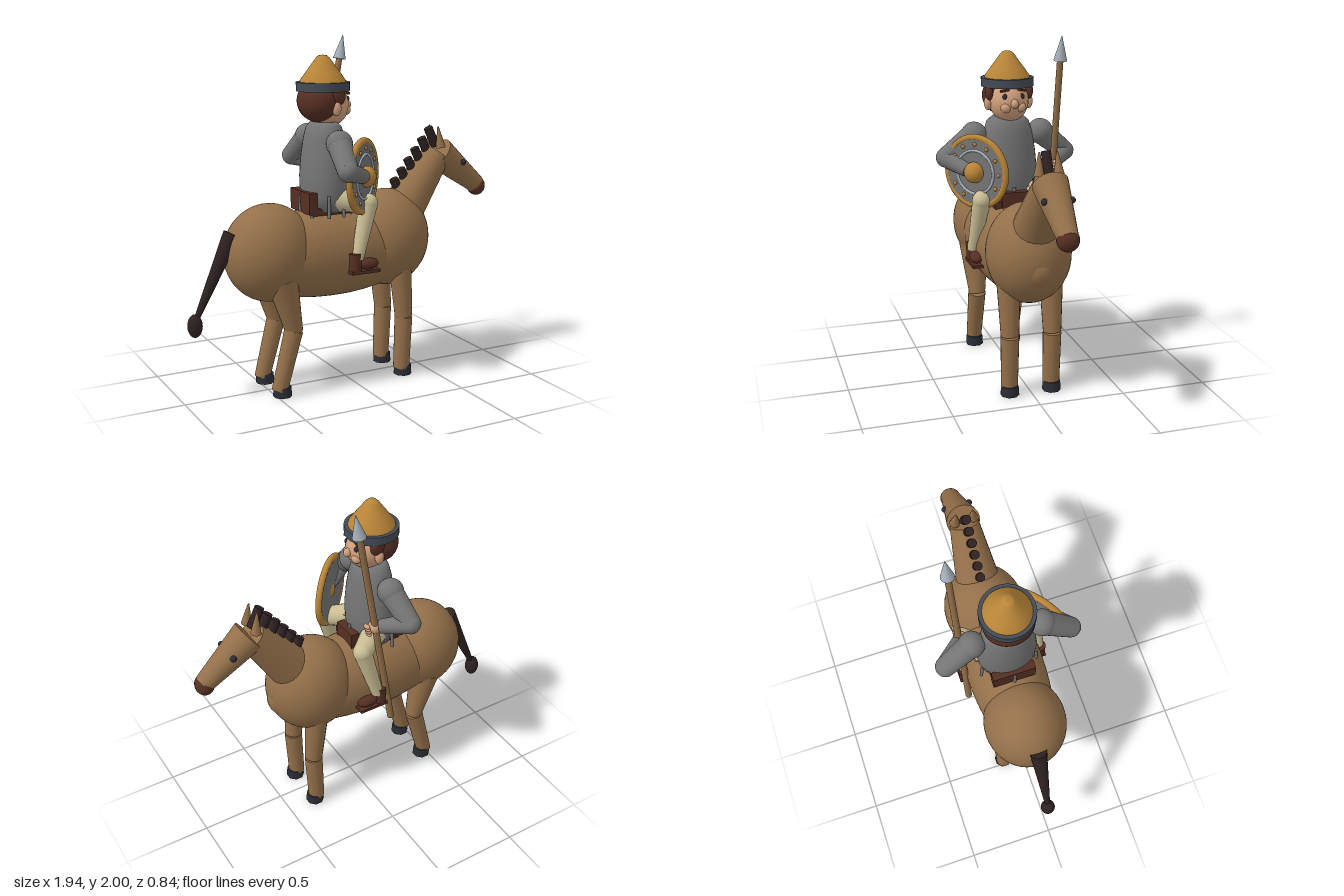
import * as THREE from 'three';

const mat = (name, color) => {
  const m = new THREE.MeshStandardMaterial({ color });
  m.name = name;
  return m;
};
const V = (x, y, z) => new THREE.Vector3(x, y, z);

export function createModel() {
  const coat = mat('coat tan', 0x94704a), mane = mat('mane dark brown', 0x2e2122);
  const hoof = mat('hoof black', 0x2b2d35), mail = mat('mail grey', 0x757575);
  const band = mat('band slate', 0x454c57), gold = mat('brass gold', 0xb98538);
  const steel = mat('light steel', 0xaab4bd), skin = mat('skin', 0xd3a27e);
  const cream = mat('trousers cream', 0xcabd94), leather = mat('leather brown', 0x562f23);

  const root = new THREE.Group();
  root.name = 'mountedSpearman';
  const section = (name) => {
    const g = new THREE.Group();
    g.name = name;
    root.add(g);
    return g;
  };
  const horse = section('horse'), rider = section('rider'), saddle = section('saddle');

  const add = (parent, name, geo, m, pos = V(0, 0, 0)) => {
    const mesh = new THREE.Mesh(geo, m);
    mesh.name = name;
    mesh.position.copy(pos);
    parent.add(mesh);
    return mesh;
  };
  // ellipsoid with separate radii
  const blob = (parent, name, m, pos, rx, ry = rx, rz = rx, seg = 24) =>
    add(parent, name, new THREE.SphereGeometry(1, seg, Math.ceil(seg * 0.7)).scale(rx, ry, rz), m, pos);
  // tapered cylinder running from a to b
  const limb = (parent, name, m, a, b, ra, rb, seg = 20) => {
    const d = b.clone().sub(a);
    const mesh = add(parent, name, new THREE.CylinderGeometry(rb, ra, d.length(), seg), m, a.clone().lerp(b, 0.5));
    mesh.quaternion.setFromUnitVectors(V(0, 1, 0), d.normalize());
    return mesh;
  };
  const box = (parent, name, m, pos, w, h, d) => add(parent, name, new THREE.BoxGeometry(w, h, d), m, pos);

  // Horse trunk, neck and head
  blob(horse, 'rump', coat, V(-0.48, 0.81, 0), 0.262, 0.278, 0.24, 40);
  blob(horse, 'barrel', coat, V(-0.1, 0.78, 0), 0.64, 0.262, 0.232, 40);
  blob(horse, 'chest', coat, V(0.27, 0.825, 0), 0.262, 0.287, 0.24, 40);
  limb(horse, 'neck', coat, V(0.35, 0.94, 0), V(0.622, 1.295, 0), 0.138, 0.085);
  limb(horse, 'head', coat, V(0.632, 1.3, 0), V(0.915, 1.085, 0), 0.098, 0.055);
  blob(horse, 'muzzle', leather, V(0.912, 1.08, 0), 0.054, 0.06, 0.06);

  // Mane tufts along the crest
  for (let i = 0; i < 6; i++) {
    const c = V(0.35 + i * 0.047, 1.11 + i * 0.058, 0), d = V(-0.027, 0.055, 0);
    limb(horse, 'maneTuft', mane, c.clone().sub(d), c.clone().add(d), 0.027, 0.027, 12);
  }
  limb(horse, 'tail', mane, V(-0.7, 0.94, 0), V(-0.92, 0.48, 0), 0.05, 0.015);
  blob(horse, 'tailTuft', mane, V(-0.928, 0.445, 0), 0.042, 0.066, 0.042);

  for (const s of [1, -1]) {
    limb(horse, 'ear', coat, V(0.615, 1.34, s * 0.055), V(0.597, 1.465, s * 0.048), 0.03, 0.004, 12);
    blob(horse, 'horseEye', hoof, V(0.763, 1.243, s * 0.074), 0.018);
    const z = s * 0.125;
    // Front leg
    limb(horse, 'frontUpperLeg', coat, V(0.295, 0.72, z), V(0.327, 0.36, z), 0.07, 0.052);
    limb(horse, 'frontLowerLeg', coat, V(0.327, 0.355, z), V(0.315, 0.04, z), 0.053, 0.048);
    // Hind leg
    limb(horse, 'hindUpperLeg', coat, V(-0.46, 0.68, z), V(-0.388, 0.37, z), 0.09, 0.05);
    limb(horse, 'hindLowerLeg', coat, V(-0.392, 0.375, z), V(-0.482, 0.035, z), 0.054, 0.046);
    for (const x of [0.325, -0.465]) {
      const h = add(horse, 'hoof', new THREE.CylinderGeometry(0.05, 0.054, 0.058, 8), hoof, V(x, 0.029, z));
      h.rotation.y = Math.PI / 8;
    }
  }

  // Saddle
  box(saddle, 'cantle', leather, V(-0.262, 1.085, 0), 0.05, 0.12, 0.25);
  box(saddle, 'pommel', leather, V(0.01, 1.06, 0), 0.05, 0.1, 0.16);
  box(saddle, 'seat', leather, V(-0.12, 1.035, 0), 0.28, 0.04, 0.24);

  // Torso and mail skirt strips
  const torso = [[0, 1.03], [0.115, 1.03], [0.13, 1.12], [0.133, 1.22], [0.125, 1.33], [0.11, 1.44],
    [0.095, 1.5], [0.07, 1.53], [0, 1.53]].map(([r, y]) => new THREE.Vector2(r, y));
  add(rider, 'torso', new THREE.LatheGeometry(torso, 32).scale(1, 1, 1.3), mail, V(-0.135, 0, 0));
  for (let i = 0; i < 10; i++) {
    const a = (i / 10) * Math.PI * 2;
    limb(rider, 'skirtStrip', mail, V(-0.14 - 0.15 * Math.cos(a), 1.005, 0.175 * Math.sin(a)),
      V(-0.14 - 0.14 * Math.cos(a), 1.13, 0.165 * Math.sin(a)), 0.01, 0.01, 8);
  }

  for (const s of [1, -1]) {
    // Arms
    const shoulder = V(-0.14, 1.425, s * 0.2);
    const elbow = V(-0.17, 1.295, s * 0.36);
    const hand = s > 0 ? V(0, 1.235, 0.25) : V(-0.02, 1.25, -0.23);
    blob(rider, 'shoulder', mail, shoulder, 0.075);
    limb(rider, 'upperArm', mail, shoulder, elbow, 0.07, 0.058);
    blob(rider, 'elbow', mail, elbow, 0.058);
    limb(rider, 'forearm', mail, elbow, hand.clone().lerp(elbow, 0.15), 0.057, 0.04);
    blob(rider, 'hand', skin, hand, 0.038);
    // Legs
    const knee = V(0.04, 1.08, s * 0.205);
    limb(rider, 'thigh', cream, V(-0.12, 1.1, s * 0.09), knee, 0.075, 0.055);
    blob(rider, 'knee', cream, knee, 0.055);
    limb(rider, 'shin', cream, knee, V(-0.045, 0.77, s * 0.235), 0.054, 0.034);
    // Boots and stirrup plates
    limb(rider, 'bootCuff', leather, V(-0.06, 0.705, s * 0.238), V(-0.06, 0.808, s * 0.238), 0.034, 0.036);
    blob(rider, 'bootToe', leather, V(0.022, 0.74, s * 0.238), 0.065, 0.032, 0.036);
    box(rider, 'bootSole', leather, V(-0.005, 0.7, s * 0.238), 0.18, 0.018, 0.066);
  }
  for (let i = 0; i < 4; i++) blob(rider, 'finger', skin, V(0.022 + i * 0.004, 1.222 + i * 0.018, -0.237), 0.015, 0.011, 0.026, 10);

  // Head, hair and face
  blob(rider, 'face', skin, V(-0.11, 1.62, 0), 0.12, 0.123, 0.113, 32);
  blob(rider, 'hair', leather, V(-0.165, 1.645, 0), 0.121, 0.12, 0.14, 32);
  blob(rider, 'nose', skin, V(0.012, 1.617, 0), 0.024, 0.027, 0.022);
  for (const s of [1, -1]) {
    blob(rider, 'ear', skin, V(-0.115, 1.61, s * 0.122), 0.026, 0.042, 0.022);
    blob(rider, 'sideLock', leather, V(-0.105, 1.675, s * 0.118), 0.045, 0.05, 0.022);
    blob(rider, 'cheek', skin, V(-0.02, 1.593, s * 0.042), 0.03, 0.03, 0.032);
    blob(rider, 'eye', hoof, V(-0.014, 1.655, s * 0.05), 0.014, 0.017, 0.014, 12);
    const brow = box(rider, 'eyebrow', leather, V(-0.018, 1.69, s * 0.05), 0.02, 0.011, 0.05);
    brow.rotation.x = s * 0.15;
  }

  // Helmet
  const cap = [[0.135, 1.735], [0.128, 1.76], [0.1, 1.8], [0.07, 1.84], [0.04, 1.882], [0.025, 1.896], [0, 1.9]]
    .map(([r, y]) => new THREE.Vector2(r, y));
  add(rider, 'helmetCone', new THREE.LatheGeometry(cap, 40), gold, V(-0.14, 0, 0));
  add(rider, 'helmetBand', new THREE.CylinderGeometry(0.151, 0.151, 0.05, 40), band, V(-0.14, 1.726, 0));

  // Round shield, built facing +z then turned outwards
  const shield = section('shield');
  shield.position.set(-0.005, 1.238, 0.222);
  shield.rotation.y = 0.7;
  add(shield, 'shieldFace', new THREE.CylinderGeometry(0.2, 0.2, 0.03, 40).rotateX(Math.PI / 2), mail);
  add(shield, 'shieldRim', new THREE.TorusGeometry(0.198, 0.019, 12, 48), gold);
  add(shield, 'shieldRing', new THREE.TorusGeometry(0.125, 0.008, 8, 40), steel, V(0, 0, 0.016));
  blob(shield, 'shieldBoss', gold, V(0, 0, 0.025), 0.06, 0.06, 0.052);
  for (let i = 0; i < 12; i++) {
    const a = (i / 12) * Math.PI * 2;
    blob(shield, 'shieldRivet', gold, V(0.16 * Math.cos(a), 0.16 * Math.sin(a), 0.016), 0.012, 0.012, 0.01, 10);
  }

  // Spear
  const spear = section('spear');
  limb(spear, 'spearShaft', coat, V(-0.14, 0.55, -0.24), V(0.09, 1.88, -0.24), 0.02, 0.018, 16);
  limb(spear, 'spearHead', steel, V(0.088, 1.862, -0.24), V(0.112, 2, -0.24), 0.038, 0.001, 20);

  return root;
}
